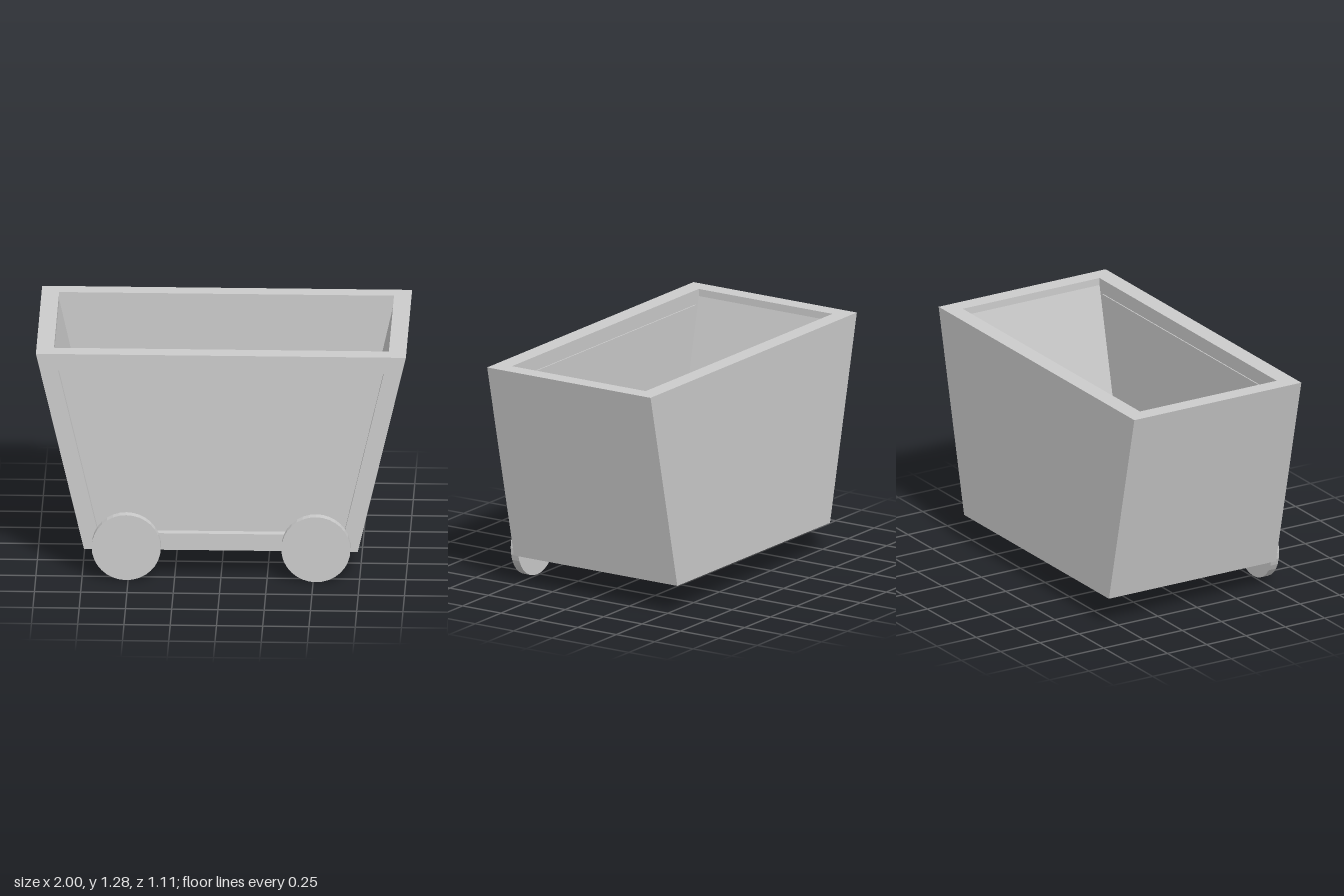
import * as THREE from 'three';

const material = new THREE.MeshStandardMaterial({ color: 0xcccccc, flatShading: true });

function addMesh(group, name, geometry) {
  const mesh = new THREE.Mesh(geometry, material);
  mesh.name = name;
  group.add(mesh);
  return mesh;
}

// Symmetric trapezoid outline in the xy plane
function trapezoid(bottomHalf, bottomY, topHalf, topY, Type = THREE.Shape) {
  return new Type([
    new THREE.Vector2(-bottomHalf, bottomY),
    new THREE.Vector2(bottomHalf, bottomY),
    new THREE.Vector2(topHalf, topY),
    new THREE.Vector2(-topHalf, topY),
  ]);
}

function slab(shape, zBack, zFront) {
  return new THREE.ExtrudeGeometry(shape, { depth: zFront - zBack, bevelEnabled: false })
    .translate(0, 0, zBack);
}

// Rectangular rings [halfX, y, zBack, zFront] skinned in order, capped at both ends
function skinRings(rings) {
  const points = [];
  const index = [];
  for (const [x, y, zb, zf] of rings) {
    points.push(-x, y, zf, x, y, zf, x, y, zb, -x, y, zb);
  }
  for (let r = 0; r < rings.length - 1; r++) {
    for (let i = 0; i < 4; i++) {
      const a = r * 4 + i, b = r * 4 + (i + 1) % 4;
      index.push(a, b, b + 4, a, b + 4, a + 4);
    }
  }
  const last = (rings.length - 1) * 4;
  index.push(0, 2, 1, 0, 3, 2, last, last + 1, last + 2, last, last + 2, last + 3);
  const geometry = new THREE.BufferGeometry();
  geometry.setAttribute('position', new THREE.Float32BufferAttribute(points, 3));
  geometry.setIndex(index);
  const flat = geometry.toNonIndexed();
  flat.computeVertexNormals();
  return flat;
}

export function createModel() {
  const model = new THREE.Group();
  model.name = 'cart';

  // Hollow tub: outside wall, rim, short upright lip, sloping inside, floor
  addMesh(model, 'tub', skinRings([
    [0.74, 0.16, -0.555, 0.463],
    [1.0, 1.28, -0.555, 0.463],
    [0.905, 1.28, -0.46, 0.41],
    [0.905, 1.24, -0.46, 0.41],
    [0.72, 0.41, -0.46, 0.41],
  ]));

  // Raised frame around the recessed front panel
  const frame = trapezoid(0.74, 0.16, 1.0, 1.28);
  frame.holes.push(trapezoid(0.665, 0.255, 0.88, 1.185, THREE.Path));
  addMesh(model, 'frontFrame', slab(frame, 0.463, 0.508));

  // Back of the front panel, standing slightly proud inside the tub
  addMesh(model, 'innerPanel', slab(trapezoid(0.7, 0.41, 0.87, 1.2), 0.404, 0.44));

  // Two disc wheels on the front face
  for (const [name, x] of [['rightWheel', -0.51], ['leftWheel', 0.515]]) {
    const wheel = new THREE.CylinderGeometry(0.187, 0.187, 0.047, 32).rotateX(Math.PI / 2);
    addMesh(model, name, wheel).position.set(x, 0.187, 0.5315);
  }

  return model;
}
